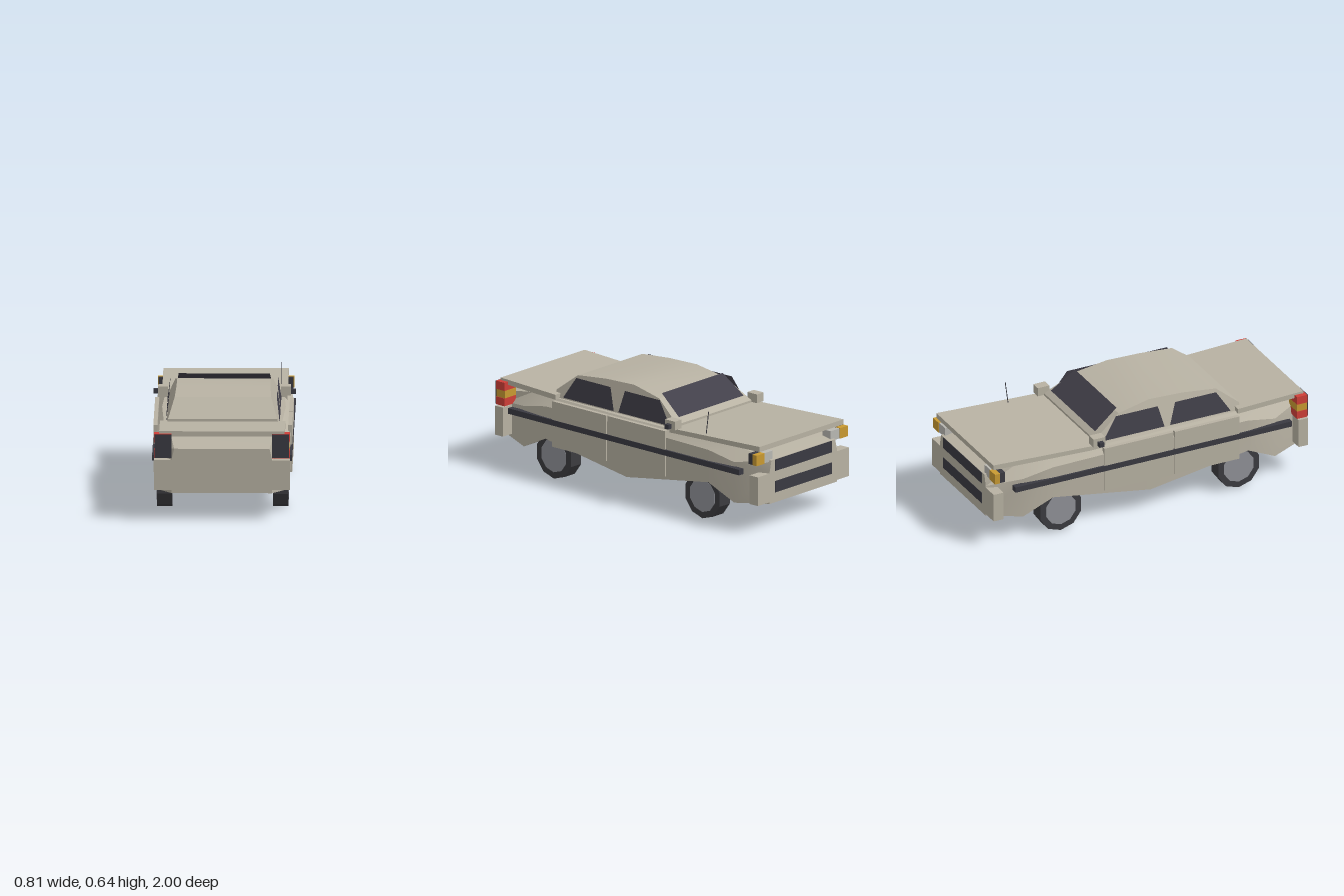
import * as THREE from 'three';
import { toCreasedNormals } from 'three/addons/utils/BufferGeometryUtils.js';

const mat = (name, color, side = THREE.FrontSide) => {
  const m = new THREE.MeshStandardMaterial({ color, side });
  m.name = name;
  return m;
};

// Skins cross-sections (counter-clockwise seen from +z) running from +z to -z, with both ends capped
function loft(sections) {
  const pos = [];
  const tri = (...pts) => pts.forEach((p) => pos.push(...p));
  const n = sections[0].length;
  for (let i = 0; i < sections.length - 1; i++) {
    for (let j = 0; j < n; j++) {
      const k = (j + 1) % n;
      const a = sections[i][j], b = sections[i][k];
      const c = sections[i + 1][k], d = sections[i + 1][j];
      tri(a, d, c);
      tri(a, c, b);
    }
  }
  const first = sections[0], last = sections[sections.length - 1];
  for (let j = 1; j < n - 1; j++) {
    tri(first[0], first[j], first[j + 1]);
    tri(last[0], last[j + 1], last[j]);
  }
  const g = new THREE.BufferGeometry();
  g.setAttribute('position', new THREE.Float32BufferAttribute(pos, 3));
  g.computeVertexNormals();
  return toCreasedNormals(g, 0.4);
}

export function createModel() {
  const car = new THREE.Group();
  car.name = 'car';
  const paint = mat('bodyPaint', 0xb8b2a3);
  const trim = mat('darkTrim', 0x3a3a42);
  const glass = mat('darkGlass', 0x42404a, THREE.DoubleSide);
  const rubber = mat('tyreRubber', 0x3c3c40);
  const metal = mat('wheelMetal', 0x909298);
  const red = mat('redLens', 0xcf3f38);
  const amber = mat('amberLens', 0xc99a32);
  const clear = mat('clearLens', 0xb9b8b2);

  const add = (name, geometry, material) => {
    const m = new THREE.Mesh(geometry, material);
    m.name = name;
    car.add(m);
    return m;
  };
  // Box given by its lower and upper limits on each axis
  const box = (name, material, [x0, x1], [y0, y1], [z0, z1]) => {
    const g = new THREE.BoxGeometry(x1 - x0, y1 - y0, z1 - z0);
    return add(name, g.translate((x0 + x1) / 2, (y0 + y1) / 2, (z0 + z1) / 2), material);
  };
  // The same box on both sides of the car
  const pair = (name, material, [x0, x1], y, z) => {
    box(name + 'Left', material, [x0, x1], y, z);
    box(name + 'Right', material, [-x1, -x0], y, z);
  };

  // Lower body: z, bottom, shoulder, top, half width, half width of the top
  const bodyRows = [
    [1, 0.155, 0.345, 0.41, 0.285, 0.27],
    [0.8, 0.14, 0.38, 0.445, 0.365, 0.29],
    [0.62, 0.228, 0.42, 0.465, 0.384, 0.33],
    [0, 0.13, 0.43, 0.468, 0.385, 0.35],
    [-0.62, 0.228, 0.42, 0.465, 0.384, 0.33],
    [-0.8, 0.14, 0.38, 0.445, 0.365, 0.29],
    [-0.998, 0.155, 0.345, 0.41, 0.285, 0.27],
  ];
  add('lowerBody', loft(bodyRows.map(([z, b, s, t, w, wt]) =>
    [[w, b, z], [w, s, z], [wt, t, z], [-wt, t, z], [-w, s, z], [-w, b, z]])), paint);

  // Cabin: z and roof height, sides leaning inwards
  const cabinRows = [[0.6, 0.507], [0.47, 0.61], [0.26, 0.631], [0.05, 0.638], [-0.15, 0.602], [-0.32, 0.49]];
  add('cabin', loft(cabinRows.map(([z, t]) => {
    const w = 0.31 - (t - 0.505) * 0.35;
    return [[0.322, 0.455, z], [w, t, z], [-w, t, z], [-0.322, 0.455, z]];
  })), paint);

  // Sloping bonnet and boot lid
  const lid = (name, rows) => add(name, loft(rows.map(([z, y0, y1]) =>
    [[0.355, y0, z], [0.355, y1, z], [-0.355, y1, z], [-0.355, y0, z]])), paint);
  lid('bootLid', [[0.985, 0.478, 0.508], [0.57, 0.462, 0.492]]);
  lid('bonnet', [[-0.3, 0.45, 0.476], [-0.985, 0.476, 0.506]]);

  // Doors, side strips and bumpers
  pair('rearDoor', paint, [0.37, 0.393], [0.195, 0.465], [0.15, 0.56]);
  pair('frontDoor', paint, [0.37, 0.393], [0.195, 0.465], [-0.298, 0.14]);
  pair('sideStrip', trim, [0.36, 0.396], [0.322, 0.355], [-0.865, 0.893]);
  box('rearBumper', paint, [-0.385, 0.385], [0.173, 0.345], [0.94, 1]);
  box('frontBumper', paint, [-0.385, 0.385], [0.165, 0.335], [-0.998, -0.935]);

  // Grille and lower intake
  box('grille', trim, [-0.24, 0.24], [0.34, 0.408], [-1, -0.992]);
  box('lowerIntake', trim, [-0.24, 0.24], [0.213, 0.28], [-1, -0.992]);

  // Lamps
  pair('headlamp', clear, [0.245, 0.32], [0.4, 0.46], [-0.985, -0.925]);
  pair('indicatorHousing', trim, [0.32, 0.383], [0.4, 0.462], [-0.957, -0.925]);
  pair('indicator', amber, [0.32, 0.386], [0.4, 0.462], [-0.99, -0.957]);
  pair('tailLampLower', red, [0.285, 0.384], [0.355, 0.401], [0.93, 0.995]);
  pair('tailLampMiddle', amber, [0.285, 0.381], [0.401, 0.446], [0.93, 0.995]);
  pair('tailLampUpper', red, [0.285, 0.384], [0.446, 0.494], [0.93, 0.995]);
  pair('tailLampPanel', trim, [0.285, 0.381], [0.358, 0.492], [0.994, 1.001]);

  // Mirrors
  pair('mirrorHousing', paint, [0.32, 0.376], [0.478, 0.53], [-0.358, -0.284]);
  pair('mirrorCap', trim, [0.376, 0.403], [0.484, 0.511], [-0.333, -0.304]);

  // Flat window panes from corner points
  const pane = (name, corners) => {
    const g = new THREE.BufferGeometry();
    g.setAttribute('position', new THREE.Float32BufferAttribute(corners.flat(), 3));
    g.setIndex([0, 1, 2, 0, 2, 3]);
    g.computeVertexNormals();
    add(name, g, glass);
  };
  pane('windscreen', [[0.255, 0.522, -0.298], [-0.255, 0.522, -0.298], [-0.275, 0.63, -0.153], [0.275, 0.63, -0.153]]
    .map(([x, y, z]) => [y < 0.6 ? Math.sign(x) * 0.275 : Math.sign(x) * 0.258, y, z]));
  const sideWindows = { rearWindow: [0.54, 0.155, 0.195, 0.455], frontWindow: [0.12, -0.27, -0.18, 0.085] };
  for (const [name, [z0, z1, z2, z3]] of Object.entries(sideWindows)) {
    for (const s of [1, -1]) {
      pane(name + (s > 0 ? 'Left' : 'Right'),
        [[0.322 * s, 0.474, z0], [0.322 * s, 0.474, z1], [0.305 * s, 0.604, z2], [0.305 * s, 0.604, z3]]);
    }
  }

  // Aerial
  const aerial = new THREE.LineCurve3(new THREE.Vector3(0.32, 0.47, -0.545), new THREE.Vector3(0.32, 0.62, -0.565));
  add('aerial', new THREE.TubeGeometry(aerial, 1, 0.0025, 5), trim);

  // Ten-sided wheels with flat hubs
  const disc = (r, width) => toCreasedNormals(
    new THREE.CylinderGeometry(r, r, width, 10).rotateY(Math.PI / 10).rotateZ(Math.PI / 2), 0.3);
  for (const s of [1, -1]) {
    for (const z of [0.565, -0.565]) {
      const label = (z > 0 ? 'rear' : 'front') + (s > 0 ? 'Left' : 'Right');
      add(label + 'Tyre', disc(0.136, 0.087), rubber).position.set(s * 0.3285, 0.136, z);
      add(label + 'Hub', disc(0.098, 0.09), metal).position.set(s * 0.3295, 0.136, z);
    }
  }
  return car;
}
